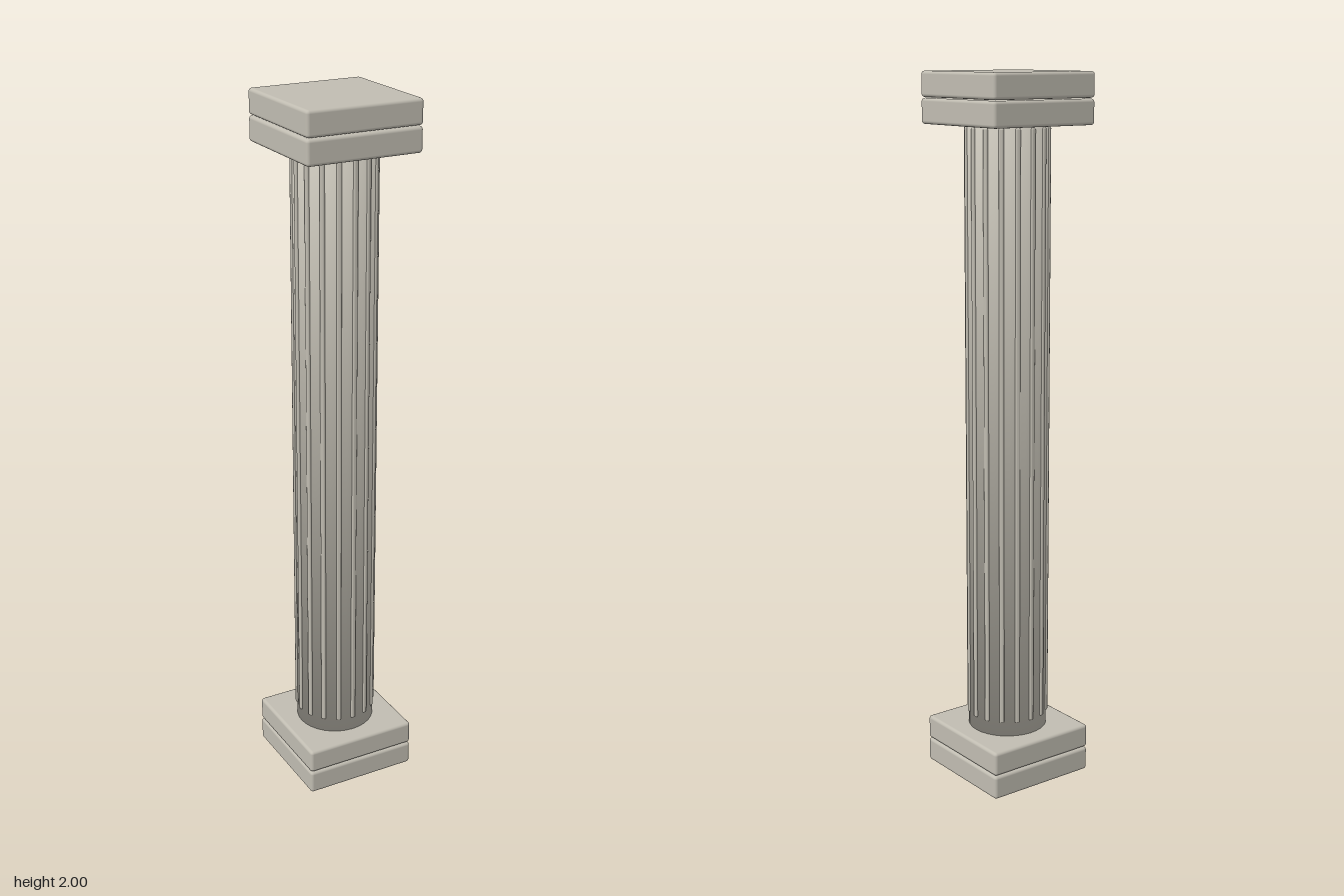
import * as THREE from 'three';
import { RoundedBoxGeometry } from 'three/addons/geometries/RoundedBoxGeometry.js';

export function createModel() {
  const column = new THREE.Group();
  column.name = 'column';
  const stone = new THREE.MeshStandardMaterial({ name: 'pale stone', color: 0xc0bcb1 });

  const add = (name, geometry, x, y, z) => {
    const mesh = new THREE.Mesh(geometry, stone);
    mesh.name = name;
    mesh.position.set(x, y, z);
    column.add(mesh);
    return mesh;
  };

  // Two stacked square slabs at the foot and two at the head
  const slabHeight = 0.069;
  const slab = new RoundedBoxGeometry(0.334, slabHeight, 0.334, 3, 0.009);
  add('lowerBaseSlab', slab, 0, slabHeight / 2, 0);
  add('upperBaseSlab', slab, 0, slabHeight * 1.5 + 0.002, 0);
  add('lowerCapitalSlab', slab, 0, 2 - slabHeight * 1.5 - 0.002, 0);
  add('upperCapitalSlab', slab, 0, 2 - slabHeight / 2, 0);

  // Round shaft, its normals rolling softly over both ends
  const shaft = new THREE.CylinderGeometry(0.113, 0.113, 1.724, 32, 1, true);
  const { position, normal } = shaft.attributes;
  const n = new THREE.Vector3();
  for (let i = 0; i < position.count; i++) {
    n.fromBufferAttribute(normal, i).setY(Math.sign(position.getY(i))).normalize();
    normal.setXYZ(i, n.x, n.y, n.z);
  }
  add('shaft', shaft, 0, 1, 0);

  // Sixteen slim vertical ribs around the shaft
  const ribCount = 16;
  const rib = new RoundedBoxGeometry(0.014, 1.676, 0.014, 2, 0.005);
  for (let i = 0; i < ribCount; i++) {
    const a = (i / ribCount) * Math.PI * 2;
    const mesh = add('rib', rib, Math.sin(a) * 0.111, 1.018, Math.cos(a) * 0.111);
    mesh.rotation.y = a;
  }

  return column;
}
